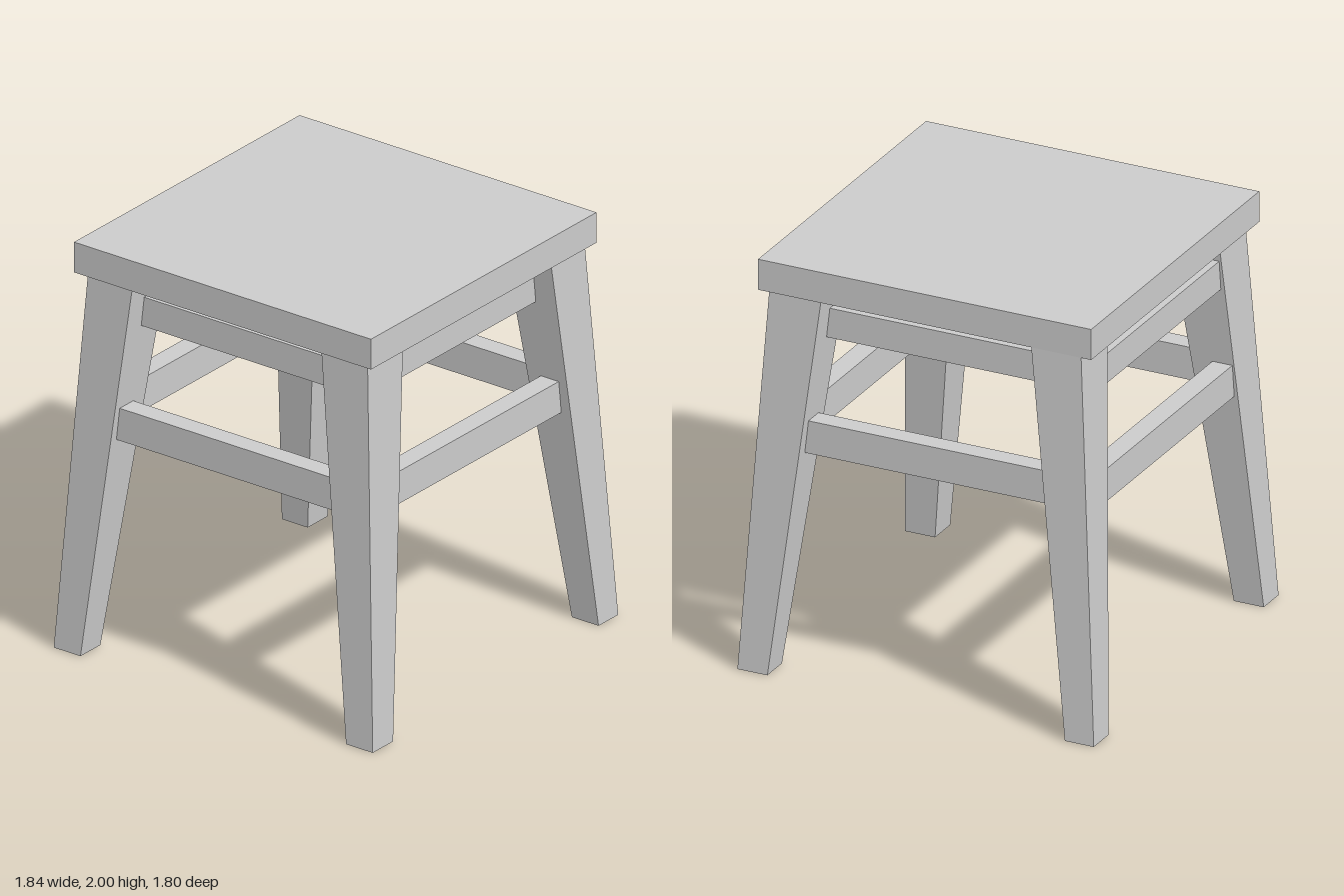
import * as THREE from 'three';

const SEAT_BOTTOM = 1.85;
const material = new THREE.MeshStandardMaterial({ color: 0xcccccc, flatShading: true });

// Axis-aligned block given by its limits on each axis
function block(name, [x0, x1], [y0, y1], [z0, z1]) {
  const mesh = new THREE.Mesh(new THREE.BoxGeometry(x1 - x0, y1 - y0, z1 - z0), material);
  mesh.position.set((x0 + x1) / 2, (y0 + y1) / 2, (z0 + z1) / 2);
  mesh.name = name;
  return mesh;
}

// Splayed, tapered leg: a box whose corners move to the foot and top rectangles
function leg(name, foot, top) {
  const geometry = new THREE.BoxGeometry(1, 1, 1);
  const p = geometry.attributes.position;
  for (let i = 0; i < p.count; i++) {
    const isTop = p.getY(i) > 0;
    const r = isTop ? top : foot;
    p.setXYZ(i, r.x[p.getX(i) > 0 ? 1 : 0], isTop ? SEAT_BOTTOM : 0, r.z[p.getZ(i) > 0 ? 1 : 0]);
  }
  geometry.computeVertexNormals();
  const mesh = new THREE.Mesh(geometry, material);
  mesh.name = name;
  return mesh;
}

export function createModel() {
  const stool = new THREE.Group();
  stool.name = 'stool';

  // Seat slab
  stool.add(block('seat', [-0.845, 0.818], [SEAT_BOTTOM, 2], [-0.837, 0.833]));

  // Legs, each slightly different in its placing
  stool.add(
    leg('frontLeftLeg', { x: [0.745, 0.89], z: [0.75, 0.9] }, { x: [0.53, 0.78], z: [0.535, 0.795] }),
    leg('frontRightLeg', { x: [-0.92, -0.77], z: [0.75, 0.9] }, { x: [-0.82, -0.56], z: [0.535, 0.795] }),
    leg('backLeftLeg', { x: [0.77, 0.917], z: [-0.9, -0.755] }, { x: [0.555, 0.815], z: [-0.785, -0.535] }),
    leg('backRightLeg', { x: [-0.912, -0.765], z: [-0.9, -0.75] }, { x: [-0.81, -0.55], z: [-0.785, -0.535] })
  );

  // Two rings of rails; the outer faces lie at the given positions
  const thick = 0.1;
  const rings = [
    { name: 'lower', y: [1.07, 1.23], left: 0.765, right: -0.81, front: 0.785, back: -0.815, reach: 0.7 },
    { name: 'upper', y: [1.615, 1.76], left: 0.675, right: -0.71, front: 0.69, back: -0.78, reach: 0.65 }
  ];
  for (const { name, y, left, right, front, back, reach } of rings) {
    const span = [-reach, reach];
    stool.add(
      block(name + 'FrontRail', span, y, [front - thick, front]),
      block(name + 'BackRail', span, y, [back, back + thick]),
      block(name + 'LeftRail', [left - thick, left], y, span),
      block(name + 'RightRail', [right, right + thick], y, span)
    );
  }
  return stool;
}
